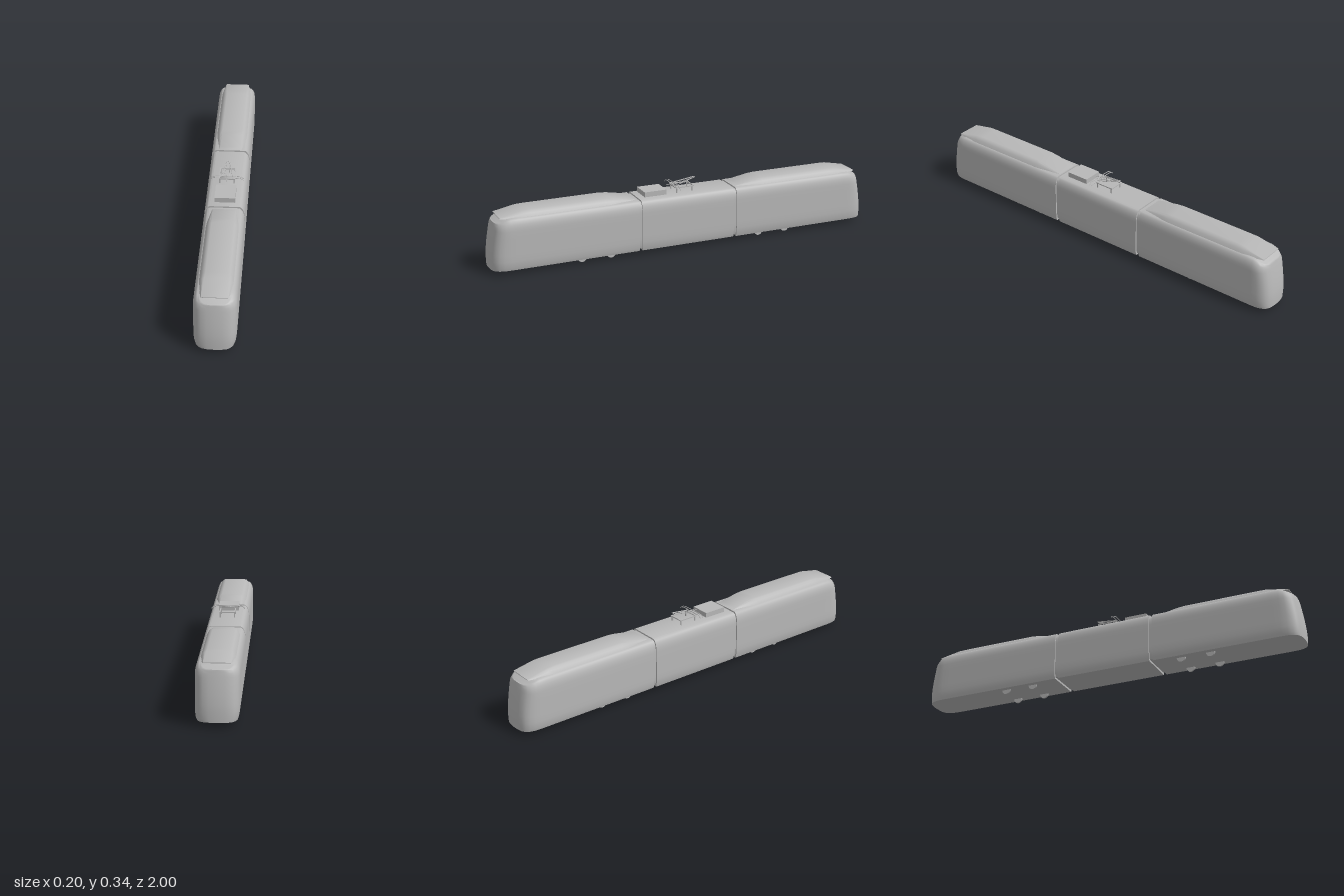
import * as THREE from 'three';
import { toCreasedNormals } from 'three/addons/utils/BufferGeometryUtils.js';

const grey = new THREE.MeshStandardMaterial({ color: 0xb8b8b8, side: THREE.DoubleSide });
grey.name = 'plain grey';

function add(parent, name, geometry, x = 0, y = 0, z = 0) {
  const mesh = new THREE.Mesh(geometry, grey);
  mesh.name = name;
  mesh.position.set(x, y, z);
  parent.add(mesh);
  return mesh;
}

// Skin a list of equal-length closed rings, ordered front to back
function loft(rings, crease) {
  const n = rings[0].length, index = [];
  for (let i = 0; i < rings.length - 1; i++) {
    for (let j = 0; j < n; j++) {
      const a = i * n + j, b = i * n + (j + 1) % n;
      index.push(a, a + n, b, b, a + n, b + n);
    }
  }
  const g = new THREE.BufferGeometry();
  g.setAttribute('position', new THREE.Float32BufferAttribute(rings.flat(2), 3));
  g.setIndex(index);
  return toCreasedNormals(g, crease);
}

// Mirror the right half of a section into a full ring
const mirrored = half => [...half, ...half.slice().reverse().map(([x, y, z]) => [-x, y, z])];

// Car body section: tucked sill, upright side, rounded shoulder
function bodyRing(hw, top, z, rake = 0, bottom = 0.022) {
  const half = [[0.93, bottom], [0.975, bottom + 0.015], [1, bottom + 0.045], [1, 0.1], [1, 0.14], [1, 0.18]];
  const rx = 0.27, ry = top - 0.215;
  for (let k = 0; k <= 6; k++) {
    const a = k / 6 * Math.PI / 2;
    half.push([1 - rx + rx * Math.cos(a), top - ry + ry * Math.sin(a)]);
  }
  return mirrored(half.map(([x, y]) =>
    [x * hw, y, z - rake * Math.pow(Math.max(0, (y - 0.07) / 0.18), 1.4)]));
}

// Roof fairing section
function fairingRing(z, base, shoulder, top, yBase, yTop) {
  const h = yTop - yBase;
  return mirrored([[base, yBase, z], [shoulder, yBase + h * 0.6, z],
    [(shoulder + top) / 2, yBase + h * 0.87, z], [top, yTop, z]]);
}

function endCar(name) {
  const car = new THREE.Group();
  car.name = name;
  // Raked, rounded nose running into a straight body
  add(car, 'endBody', loft([
    bodyRing(0, 0.25, 1, 0.027),
    bodyRing(0.035, 0.25, 0.998, 0.027),
    bodyRing(0.06, 0.251, 0.993, 0.027),
    bodyRing(0.077, 0.254, 0.983, 0.026),
    bodyRing(0.089, 0.26, 0.966, 0.023),
    bodyRing(0.096, 0.268, 0.942, 0.015),
    bodyRing(0.098, 0.274, 0.91, 0.005),
    bodyRing(0.098, 0.275, 0.87),
    bodyRing(0.098, 0.275, 0.262),
    bodyRing(0, 0.275, 0.262),
  ], 0.75));
  // Fairing with a thin visor over the nose and a ramp at the joint
  add(car, 'roofFairing', loft([
    fairingRing(0.95, 0, 0, 0, 0.273, 0.276),
    fairingRing(0.95, 0.062, 0.061, 0.058, 0.273, 0.276),
    fairingRing(0.84, 0.08, 0.07, 0.053, 0.268, 0.299),
    fairingRing(0.8, 0.08, 0.07, 0.05, 0.268, 0.301),
    fairingRing(0.42, 0.08, 0.07, 0.05, 0.268, 0.301),
    fairingRing(0.38, 0.078, 0.068, 0.051, 0.268, 0.297),
    fairingRing(0.29, 0.063, 0.06, 0.055, 0.268, 0.279),
    fairingRing(0.263, 0.058, 0.057, 0.055, 0.268, 0.274),
  ], 0.6));
  // Wheels
  const wheel = new THREE.CylinderGeometry(0.022, 0.022, 0.008, 24).rotateZ(Math.PI / 2);
  for (const z of [0.4, 0.55]) for (const x of [-0.063, 0.063]) add(car, 'wheel', wheel, x, 0.022, z);
  // Gangway bellows
  add(car, 'gangway', loft([
    bodyRing(0.092, 0.268, 0.265, 0, 0.032), bodyRing(0.092, 0.268, 0.24, 0, 0.032),
  ], 0.75));
  return car;
}

function rod(parent, name, points, radius) {
  const curve = new THREE.CatmullRomCurve3(points.map(p => new THREE.Vector3(...p)));
  add(parent, name, new THREE.TubeGeometry(curve, points.length > 2 ? 24 : 1, radius, 6));
}

function pantograph() {
  const g = new THREE.Group();
  g.name = 'pantograph';
  // Base frame on four legs
  for (const s of [-1, 1]) {
    add(g, 'frameSideRail', new THREE.BoxGeometry(0.005, 0.005, 0.1), s * 0.037, 0.301, -0.003);
    add(g, 'frameCrossRail', new THREE.BoxGeometry(0.074, 0.005, 0.005), 0, 0.301, -0.003 + s * 0.047);
    for (const z of [-0.045, 0.04]) add(g, 'frameLeg', new THREE.BoxGeometry(0.006, 0.03, 0.006), s * 0.035, 0.287, z);
    // Arms converging towards the rear
    rod(g, 'outerArm', [[s * 0.03, 0.308, 0.05], [s * 0.006, 0.334, -0.07]], 0.0018);
    rod(g, 'innerArm', [[s * 0.014, 0.311, 0.05], [s * 0.004, 0.333, -0.07]], 0.0014);
  }
  rod(g, 'armTip', [[-0.007, 0.334, -0.07], [0.007, 0.334, -0.07]], 0.002);
  rod(g, 'armPivot', [[-0.032, 0.307, 0.05], [0.032, 0.307, 0.05]], 0.002);
  // Collector bars with drooping horns
  for (const z of [0.04, 0.054]) {
    rod(g, 'collectorBar', [[-0.083, 0.302, z], [-0.073, 0.311, z], [-0.056, 0.315, z], [0, 0.315, z],
      [0.056, 0.315, z], [0.073, 0.311, z], [0.083, 0.302, z]], 0.0018);
  }
  rod(g, 'headLink', [[0, 0.31, 0.08], [0, 0.316, 0.03]], 0.0016);
  return g;
}

export function createModel() {
  const model = new THREE.Group();
  model.name = 'tram';
  const rear = endCar('rearCar');
  rear.rotation.y = Math.PI;
  model.add(endCar('frontCar'), rear);
  // Middle car
  add(model, 'middleBody', loft([
    bodyRing(0, 0.275, 0.246), bodyRing(0.098, 0.275, 0.246),
    bodyRing(0.098, 0.275, -0.246), bodyRing(0, 0.275, -0.246),
  ], 0.75));
  // Roof equipment
  add(model, 'roofBox', new THREE.BoxGeometry(0.1, 0.025, 0.115), 0, 0.291, 0.158);
  model.add(pantograph());
  return model;
}
